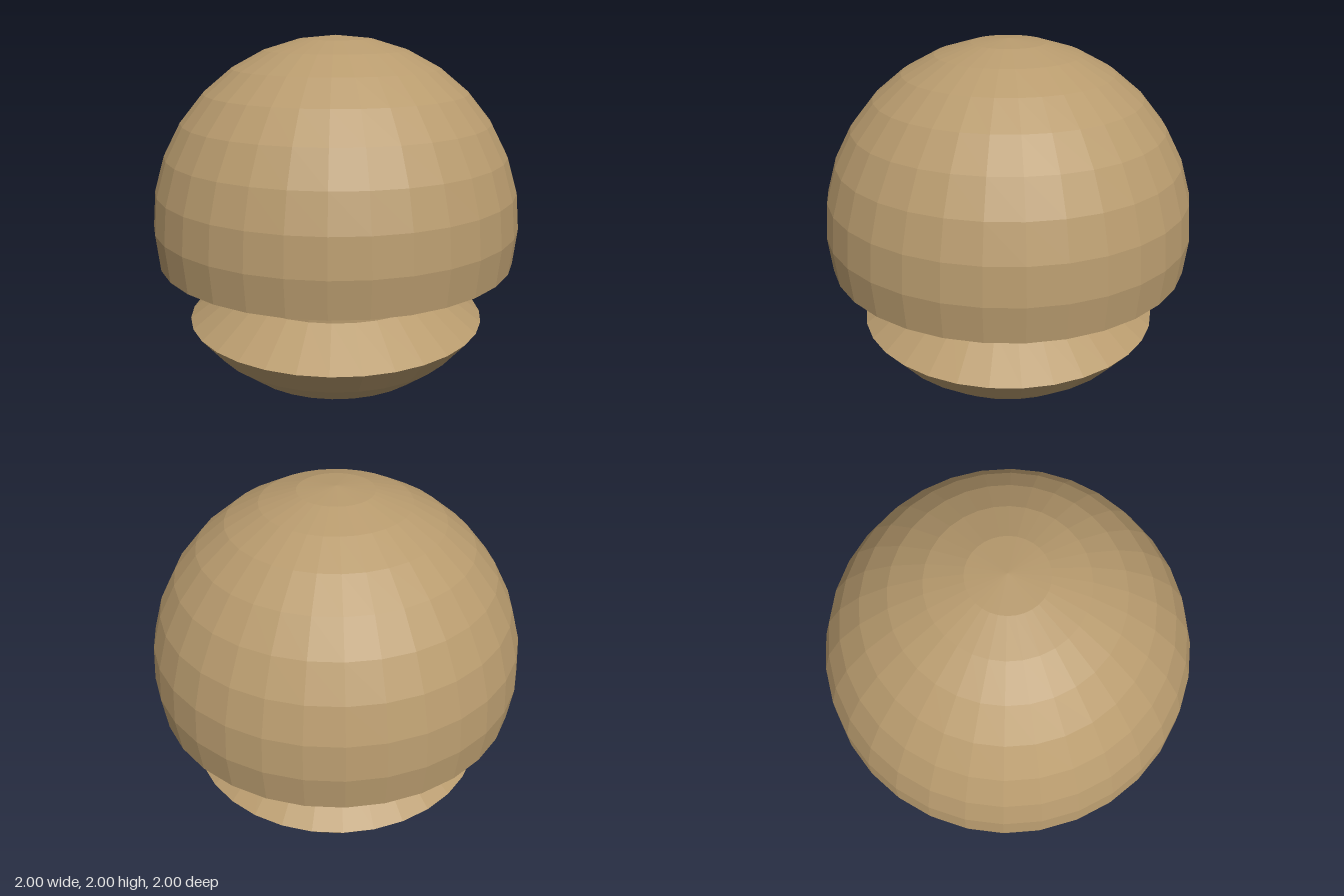
import * as THREE from 'three';

const SEGMENTS = 32;
const STEP = Math.PI / 16; // angle between sphere rings
const NECK_RADIUS = 0.595;

// Point on the unit sphere's profile, ring 0 at the bottom and 16 at the top
const ring = (i) => new THREE.Vector2(Math.max(0, Math.sin(i * STEP)), 1 - Math.cos(i * STEP));
const rings = (from, to) => Array.from({ length: to - from + 1 }, (_, i) => ring(from + i));

export function createModel() {
  const group = new THREE.Group();
  const tan = new THREE.MeshStandardMaterial({ color: 0xb89b6e, flatShading: true });
  tan.name = 'tan';

  // Profiles run from bottom to top so the faces point outward
  const addTurned = (name, points) => {
    const mesh = new THREE.Mesh(new THREE.LatheGeometry(points, SEGMENTS), tan);
    mesh.name = name;
    group.add(mesh);
  };

  const neckBottom = new THREE.Vector2(NECK_RADIUS, 0.617);
  const neckTop = new THREE.Vector2(NECK_RADIUS, ring(7).y);

  // Rounded base up to its widest rim
  addTurned('base', rings(0, 5));
  // Sloping shoulder from the rim in to the neck
  addTurned('shoulder', [ring(5), neckBottom]);
  // Straight neck
  addTurned('neck', [neckBottom, neckTop]);
  // Flat underside and domed cap
  addTurned('capUnderside', [neckTop, ring(7)]);
  addTurned('cap', rings(7, 16));

  return group;
}
